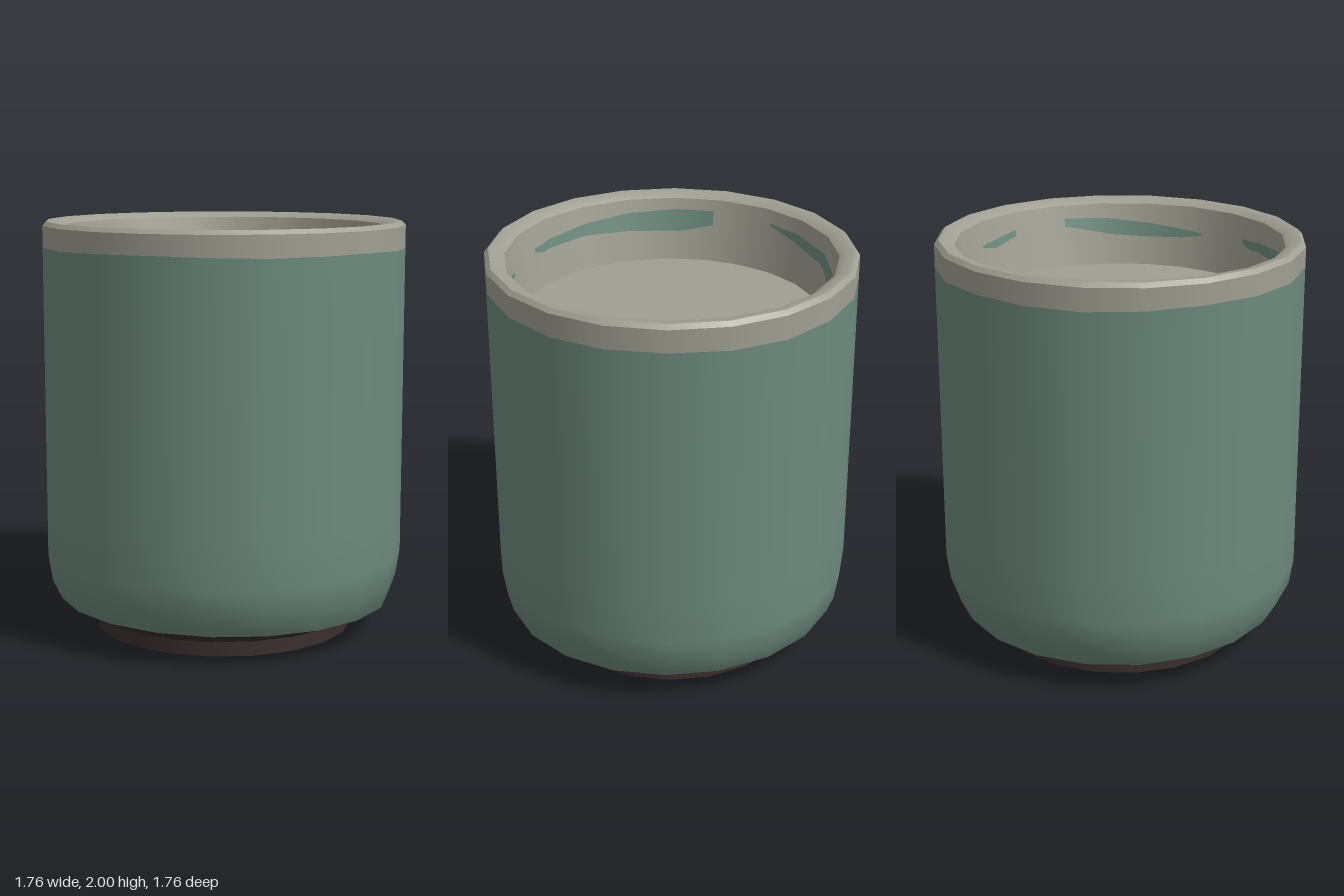
import * as THREE from 'three';

const SIDES = 20;
const DEG = Math.PI / 180;

const flat = (name, color) => {
  const m = new THREE.MeshStandardMaterial({ color });
  m.name = name;
  return m;
};

// Inner wall radius: tapers from the lip down to the drink
const wallRadius = (y) => 0.725 + (0.06 * (y - 1.67)) / 0.3;

// Radius on a facet of the 20-sided wall at a given angle
const facetRadius = (r, angle) => {
  const step = (2 * Math.PI) / SIDES;
  const a = ((angle % step) + step) % step;
  return (r * Math.cos(step / 2)) / Math.cos(a - step / 2);
};

export function createModel() {
  const group = new THREE.Group();
  const glaze = flat('greenGlaze', 0x6d8a7d);
  const cream = flat('creamClay', 0xa09f93);
  const brown = flat('darkBrownClay', 0x3a2e2e);
  glaze.side = THREE.DoubleSide;

  const add = (name, geometry, material) => {
    const mesh = new THREE.Mesh(geometry, material);
    mesh.name = name;
    group.add(mesh);
    return mesh;
  };

  // Turned part; the glaze line waves a little and the lower shoulder is slightly oval
  const turned = (name, points, material) => {
    const g = new THREE.LatheGeometry(points.map((p) => new THREE.Vector2(...p)), SIDES);
    const pos = g.attributes.position;
    for (let i = 0; i < pos.count; i++) {
      const x = pos.getX(i), y = pos.getY(i), z = pos.getZ(i);
      if (Math.abs(y - 1.875) < 0.001) {
        pos.setY(i, y + 0.007 * z + 0.004 * Math.sin(5 * Math.atan2(x, z)));
      }
      if (Math.abs(y - 0.15) < 0.001) pos.setX(i, x * 1.045);
    }
    return add(name, g, material);
  };

  // Outside of the cup
  turned('glazedBody', [[0.8, 0.15], [0.86, 0.25], [0.88, 0.38], [0.88, 0.6], [0.88, 1.875]], glaze);
  turned('unglazedBand', [[0.88, 1.875], [0.88, 1.98]], cream);
  turned('underside', [[0.635, 0.07], [0.8, 0.15]], brown);
  turned('footRing', [[0.635, 0], [0.635, 0.07]], brown);
  turned('footBase', [[0, 0], [0.635, 0]], brown);

  // Lip and inside
  turned('lipBevel', [[0.88, 1.98], [0.86, 2]], cream);
  turned('lipTop', [[0.86, 2], [0.82, 1.997], [0.785, 1.975]], cream);
  turned('innerWall', [[0.785, 1.975], [wallRadius(1.67), 1.67], [wallRadius(1.6), 1.6]], cream);
  const drink = add('innerFloor', new THREE.CircleGeometry(0.72, 24), cream);
  drink.rotation.x = -Math.PI / 2;
  drink.position.y = 1.67;

  // Glaze runs on the inner wall: rows of [angle, upper height, lower height]
  const glazeRun = (centre, rows) => {
    const position = [], normal = [], index = [];
    const steps = 40;
    const first = rows[0][0], last = rows[rows.length - 1][0];
    for (let i = 0; i <= steps; i++) {
      const phi = first + ((last - first) * i) / steps;
      let k = 0;
      while (k < rows.length - 2 && phi > rows[k + 1][0]) k++;
      const [a, b] = [rows[k], rows[k + 1]];
      const t = (phi - a[0]) / (b[0] - a[0]);
      const angle = (centre - phi) * DEG;
      for (const side of [1, 2]) {
        const y = a[side] + (b[side] - a[side]) * t;
        const r = facetRadius(wallRadius(y) - 0.004, angle);
        position.push(r * Math.sin(angle), y, r * Math.cos(angle));
        normal.push(-Math.sin(angle), 0.2, -Math.cos(angle));
      }
      const n = 2 * i;
      if (i < steps) index.push(n, n + 1, n + 2, n + 2, n + 1, n + 3);
    }
    const g = new THREE.BufferGeometry();
    g.setAttribute('position', new THREE.Float32BufferAttribute(position, 3));
    g.setAttribute('normal', new THREE.Float32BufferAttribute(normal, 3));
    g.setIndex(index);
    g.normalizeNormals();
    add('innerGlazeRun', g, glaze);
  };
  glazeRun(225, [[-78, 1.91, 1.9], [-60, 1.9, 1.85], [-40, 1.89, 1.83], [-28, 1.87, 1.79],
    [-10, 1.86, 1.71], [5, 1.87, 1.76], [12, 1.89, 1.84], [17, 1.89, 1.87]]);
  glazeRun(225, [[31, 1.885, 1.88], [33, 1.89, 1.87], [36, 1.88, 1.875]]);
  glazeRun(225, [[60, 1.86, 1.85], [68, 1.87, 1.83], [80, 1.89, 1.86]]);
  glazeRun(45, [[-78, 1.91, 1.87], [-60, 1.9, 1.82], [-45, 1.88, 1.81], [-30, 1.86, 1.82], [-22, 1.85, 1.84]]);
  glazeRun(45, [[-1, 1.87, 1.85], [4, 1.87, 1.83], [25, 1.89, 1.835], [45, 1.91, 1.82],
    [65, 1.92, 1.81], [78, 1.92, 1.85]]);

  return group;
}
